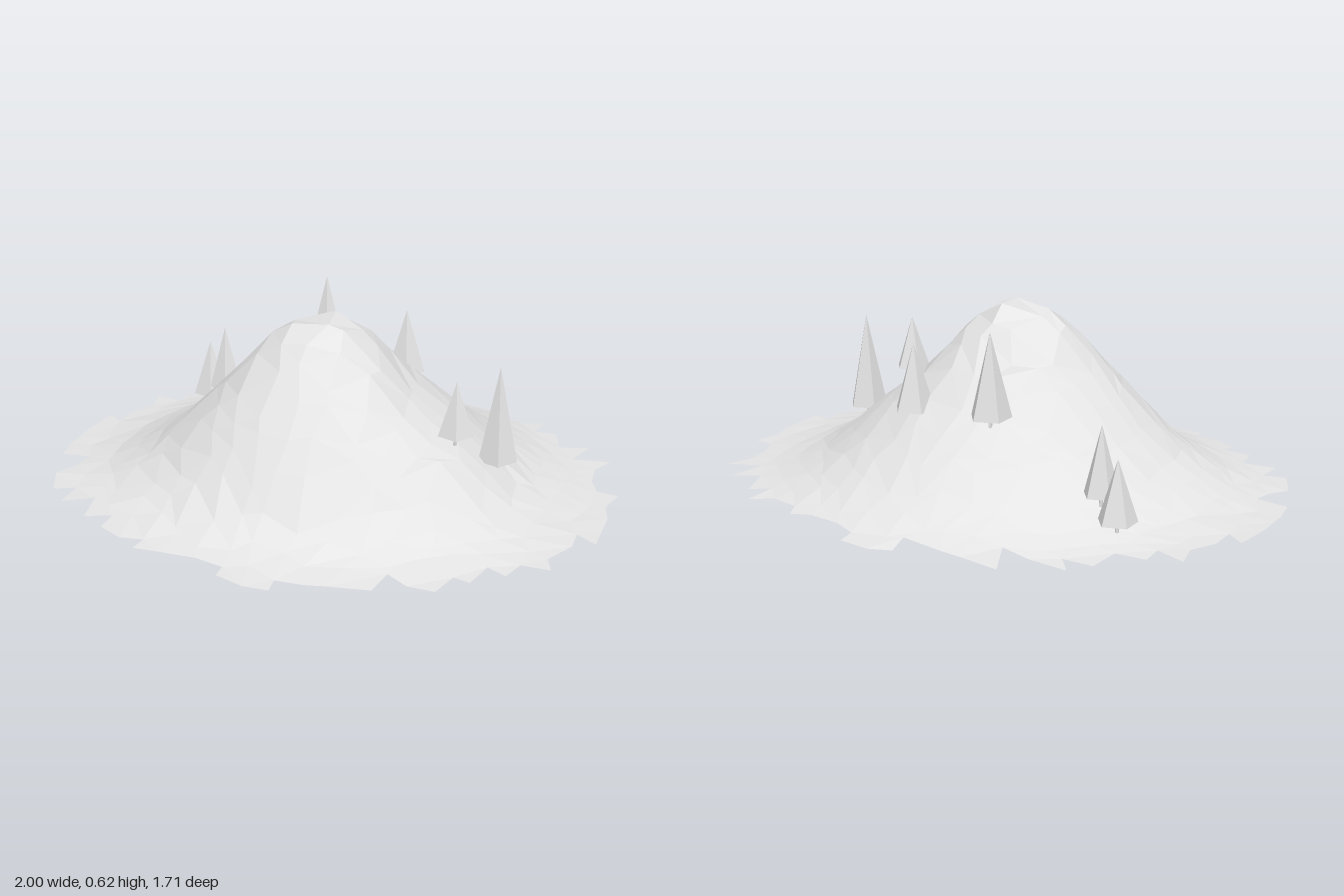
import * as THREE from 'three';

// Hill heights every 0.1 outward from the summit, one profile per direction
const SUMMIT_Z = 0.08;
const PROFILES = {
  left: [0.635, 0.59, 0.5, 0.38, 0.3, 0.23, 0.14, 0.06, 0.025, 0.005, 0],
  right: [0.635, 0.6, 0.54, 0.42, 0.32, 0.22, 0.13, 0.07, 0.025, 0.005, 0],
  front: [0.635, 0.57, 0.47, 0.36, 0.23, 0.1, 0.035, 0.01, 0],
  back: [0.635, 0.62, 0.56, 0.46, 0.36, 0.27, 0.18, 0.1, 0.04, 0.005, 0],
};

function sample(profile, r) {
  const t = r * 10;
  const i = Math.floor(t);
  if (i >= profile.length - 1) return 0;
  return THREE.MathUtils.lerp(profile[i], profile[i + 1], t - i);
}

// Blend the side and front/back profiles along oval contours
function heightAt(x, z) {
  const dz = z - SUMMIT_Z;
  const reach = dz > 0 ? 0.77 : 0.93;
  const v = dz / reach;
  const q = Math.hypot(x, v);
  if (q < 1e-6) return PROFILES.front[0];
  const side = sample(x > 0 ? PROFILES.left : PROFILES.right, q);
  const face = sample(dz > 0 ? PROFILES.front : PROFILES.back, q * reach);
  return (side * x * x + face * v * v) / (q * q);
}

function seeded(seed) {
  return () => {
    seed = (seed * 16807) % 2147483647;
    return seed / 2147483647 - 0.5;
  };
}

// Jittered grid trimmed to an oval, which leaves a ragged rim
function hillGeometry() {
  const n = 20, stepX = 0.1, stepZ = 0.085;
  const rand = seeded(4217);
  const positions = [], indices = [];
  for (let j = 0; j <= n; j++) {
    for (let i = 0; i <= n; i++) {
      const x = THREE.MathUtils.clamp((i - n / 2) * stepX + rand() * 0.065, -1, 1);
      const z = THREE.MathUtils.clamp((j - n / 2) * stepZ + rand() * 0.06, -0.855, 0.855);
      positions.push(x, heightAt(x, z), z);
    }
  }
  for (let j = 0; j < n; j++) {
    for (let i = 0; i < n; i++) {
      if (Math.hypot((i + 0.5 - n / 2) / 9.7, (j + 0.5 - n / 2) / 9.56) > 1) continue;
      const a = j * (n + 1) + i, b = a + 1, c = a + n + 1, d = c + 1;
      // Diagonals run along the contours in every quarter
      if ((i < n / 2) === (j < n / 2)) indices.push(a, c, b, b, c, d);
      else indices.push(a, c, d, a, d, b);
    }
  }
  const geometry = new THREE.BufferGeometry();
  geometry.setAttribute('position', new THREE.Float32BufferAttribute(positions, 3));
  geometry.setIndex(indices);
  const flat = geometry.toNonIndexed();
  flat.computeVertexNormals();
  return flat;
}

// Five-sided fir: cone crown on a thin trunk
function makeTree(x, z, base, top, radius, material) {
  const tree = new THREE.Group();
  tree.name = 'tree';
  const height = top - base;
  const crown = new THREE.Mesh(
    new THREE.ConeGeometry(radius, height, 5, 1, false, Math.PI / 2), material);
  crown.name = 'crown';
  crown.position.y = base + height / 2;
  const trunk = new THREE.Mesh(
    new THREE.CylinderGeometry(0.007, 0.007, 0.06, 5, 1, false, Math.PI / 2), material);
  trunk.name = 'trunk';
  trunk.position.y = base - 0.01;
  tree.add(crown, trunk);
  tree.position.set(x, 0, z);
  return tree;
}

export function createModel() {
  const model = new THREE.Group();
  model.name = 'hillWithTrees';
  const grey = new THREE.MeshStandardMaterial({
    color: 0xe4e4e4, flatShading: true, side: THREE.DoubleSide,
  });
  grey.name = 'light grey';

  const hill = new THREE.Mesh(hillGeometry(), grey);
  hill.name = 'hill';
  model.add(hill);

  // x, z, crown base, crown top, crown radius
  const trees = [
    [0.607, 0, 0.16, 0.5, 0.07],
    [0.493, 0.13, 0.29, 0.48, 0.063],
    [0.167, -0.34, 0.3, 0.53, 0.071],
    [-0.148, -0.36, 0.325, 0.615, 0.073],
    [-0.557, -0.35, 0.13, 0.365, 0.062],
    [-0.642, -0.4, 0.07, 0.28, 0.068],
  ];
  for (const [x, z, base, top, radius] of trees) {
    model.add(makeTree(x, z, base, top, radius, grey));
  }
  return model;
}
